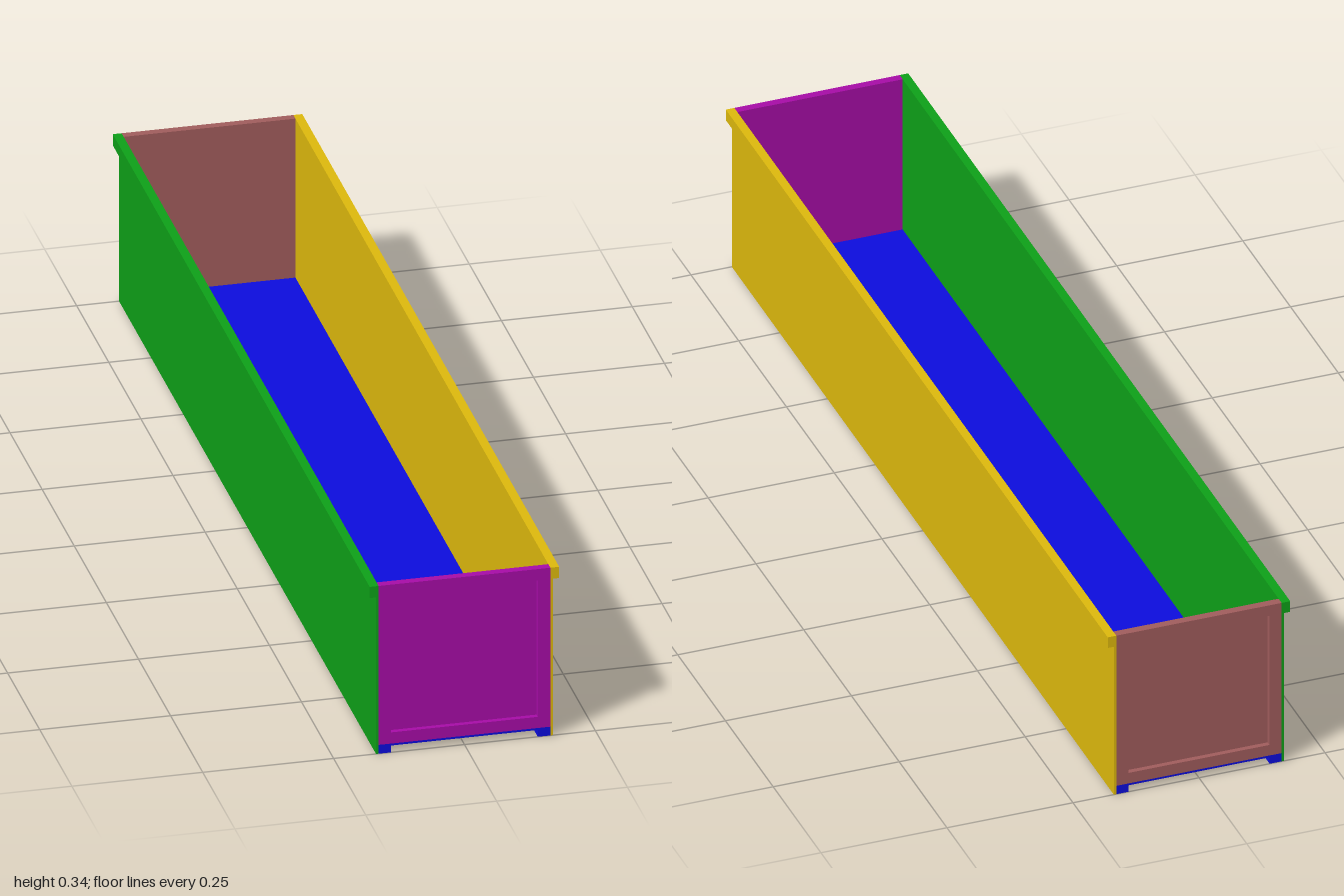
import * as THREE from 'three';

const L = 2, H = 0.345;            // length and height
const IN = 0.164, OUT = 0.169;     // wall inner and outer faces
const RIM = 0.181, RIM_Y = 0.322;  // lip overhang and underside
const FLOOR = 0.018, END = 0.016, RECESS = 0.01;

const mat = (color) => new THREE.MeshStandardMaterial({ color });

function shapeOf(points) {
  return new THREE.Shape(points.map(([x, y]) => new THREE.Vector2(x, y)));
}

// Cross-section swept along z between z0 and z0 + depth
function sweep(name, shape, z0, depth, material) {
  const geo = new THREE.ExtrudeGeometry(shape, { depth, bevelEnabled: false });
  geo.translate(0, 0, z0);
  const mesh = new THREE.Mesh(geo, material);
  mesh.name = name;
  return mesh;
}

const rect = (x, y0, y1) => [[-x, y0], [x, y0], [x, y1], [-x, y1]];

// Thin side wall with an outward lip along its top
function sideWall(name, side, color) {
  const profile = [[IN, 0], [OUT, 0], [OUT, RIM_Y], [RIM, RIM_Y], [RIM, H], [IN, H]];
  return sweep(name, shapeOf(profile.map(([x, y]) => [x * side, y])), -L / 2, L, mat(color));
}

// End panel: a thin inner sheet with a raised frame on its outer face
function endPanel(name, color) {
  const group = new THREE.Group();
  group.name = name;
  const material = mat(color);
  const sheet = shapeOf(rect(IN, FLOOR, H));
  const frame = shapeOf(rect(IN, FLOOR, H));
  frame.holes.push(shapeOf(rect(0.14, 0.041, 0.322)));
  group.add(
    sweep(name + 'Sheet', sheet, L / 2 - END, END - RECESS, material),
    sweep(name + 'Frame', frame, L / 2 - RECESS, RECESS, material)
  );
  return group;
}

export function createModel() {
  const model = new THREE.Group();
  model.name = 'openTrough';

  model.add(sideWall('leftWall', 1, 0xdcb80c), sideWall('rightWall', -1, 0x0ea018));

  // Floor plate with a runner under each long edge
  const floor = shapeOf([
    [-IN, 0], [-0.14, 0], [-0.14, 0.014], [0.14, 0.014],
    [0.14, 0], [IN, 0], [IN, FLOOR], [-IN, FLOOR]
  ]);
  model.add(sweep('floor', floor, -L / 2, L, mat(0x0c0cdc)));

  const front = endPanel('frontPanel', 0xa60ca6);
  const back = endPanel('backPanel', 0xa05c5c);
  back.rotation.y = Math.PI;
  model.add(front, back);

  return model;
}
